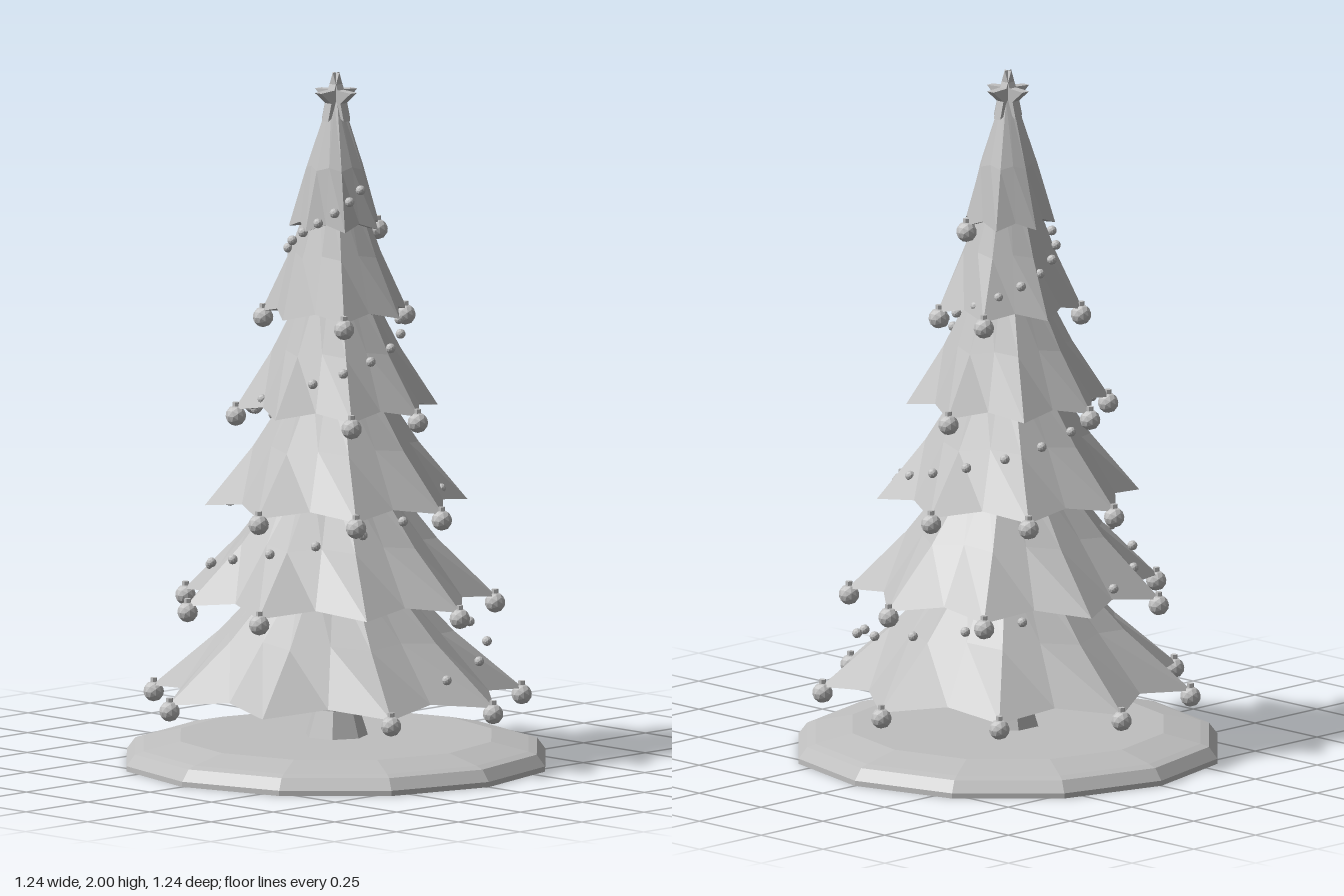
import * as THREE from 'three';

const grey = new THREE.MeshStandardMaterial({ color: 0xbfbfbf, flatShading: true });
grey.name = 'plain grey';

function add(parent, name, geometry, x = 0, y = 0, z = 0) {
  const mesh = new THREE.Mesh(geometry, grey);
  mesh.name = name;
  mesh.position.set(x, y, z);
  parent.add(mesh);
  return mesh;
}

// Star-shaped skirt of branches: rings alternate between tips and valleys
function tierGeometry(points, offset, rings) {
  const n = points * 2;
  const pos = [];
  const at = (ring, i) => {
    const a = offset + (i * Math.PI) / points;
    const tip = i % 2 === 0;
    const r = tip ? ring.tip : ring.valley;
    return [Math.cos(a) * r, tip ? ring.y : ring.y + ring.lift, Math.sin(a) * r];
  };
  for (let i = 0; i < n; i++) {
    for (let k = 0; k < rings.length - 1; k++) {
      const a = at(rings[k], i), b = at(rings[k], i + 1);
      const c = at(rings[k + 1], i), d = at(rings[k + 1], i + 1);
      pos.push(...a, ...c, ...d, ...a, ...d, ...b);
    }
    const top = rings[rings.length - 1];
    pos.push(0, rings[0].y + 0.01, 0, ...at(rings[0], i), ...at(rings[0], i + 1));
    pos.push(0, top.y + 0.01, 0, ...at(top, i + 1), ...at(top, i));
  }
  const g = new THREE.BufferGeometry();
  g.setAttribute('position', new THREE.Float32BufferAttribute(pos, 3));
  g.computeVertexNormals();
  return g;
}

export function createModel() {
  const tree = new THREE.Group();
  tree.name = 'decoratedTree';

  // Twelve-sided ground mound
  const mound = [[0, 0], [0.62, 0], [0.62, 0.015], [0.595, 0.048], [0.57, 0.056], [0.46, 0.08], [0, 0.08]];
  const base = add(tree, 'groundMound',
    new THREE.LatheGeometry(mound.map(([x, y]) => new THREE.Vector2(x, y)), 12));
  base.geometry = base.geometry.toNonIndexed();
  base.geometry.computeVertexNormals();

  // Trunk with flared foot
  add(tree, 'trunk', new THREE.CylinderGeometry(0.06, 0.07, 0.3, 7), 0, 0.22, 0);
  add(tree, 'trunkFoot', new THREE.CylinderGeometry(0.06, 0.095, 0.11, 7), 0, 0.125, 0);

  // Branch tiers from bottom to top; hung = tips that carry a bauble
  const tiers = [
    { n: 9, turn: -2.3, y: 0.205, r: 0.54, hung: [0, 1, 2, 3, 5, 6, 7, 8] },
    { n: 9, turn: 3.7, y: 0.48, r: 0.46, hung: [0, 1, 2, 4, 5, 6, 8] },
    { n: 8, turn: -9, y: 0.755, r: 0.38, hung: [0, 2, 3, 4, 6, 7] },
    { n: 8, turn: -9, y: 1.03, r: 0.295, hung: [0, 2, 3, 5, 6] },
    { n: 7, turn: 25.7, y: 1.305, r: 0.215, hung: [0, 2, 4, 6] },
    { n: 7, turn: 21, y: 1.555, r: 0.135, hung: [0] },
  ];
  const ball = new THREE.IcosahedronGeometry(0.03, 1);
  const cap = new THREE.CylinderGeometry(0.01, 0.01, 0.012, 6);
  tiers.forEach(({ n, turn, y, r, hung }, level) => {
    const offset = THREE.MathUtils.degToRad(turn);
    const last = level === tiers.length - 1;
    const rings = [
      { y, tip: r, valley: r * 0.83, lift: 0.02 },
      { y: y + 0.17, tip: r * 0.63, valley: r * 0.57, lift: 0.01 },
      { y: y + 0.36, tip: r * (last ? 0.16 : 0.3), valley: r * (last ? 0.14 : 0.27), lift: 0 },
    ];
    add(tree, 'branchTier', tierGeometry(n, offset, rings));
    for (const i of hung) {
      const a = offset + (i * 2 * Math.PI) / n;
      const bauble = new THREE.Group();
      bauble.name = 'bauble';
      bauble.position.set(Math.cos(a) * (r - 0.005), y - 0.017, Math.sin(a) * (r - 0.005));
      add(bauble, 'baubleBall', ball);
      add(bauble, 'baubleCap', cap, 0, 0.033, 0);
      tree.add(bauble);
    }
  });

  // Spiral string of small lights, three turns
  const bulb = new THREE.IcosahedronGeometry(0.0145, 1);
  const steps = 46;
  for (let i = 0; i <= steps; i++) {
    const t = i / steps;
    const a = Math.PI / 2 - t * Math.PI * 6;
    const r = 0.45 - 0.35 * t - 0.02 * Math.sin(Math.PI * t);
    add(tree, 'light', bulb, Math.cos(a) * r, 0.29 + 1.38 * t, Math.sin(a) * r);
  }

  // Two crossed five-point stars on the top
  const outline = new THREE.Shape();
  for (let i = 0; i < 10; i++) {
    const a = Math.PI / 2 + (i * Math.PI) / 5;
    const r = i % 2 ? 0.033 : 0.076;
    outline[i ? 'lineTo' : 'moveTo'](Math.cos(a) * r, Math.sin(a) * r);
  }
  outline.closePath();
  const star = new THREE.ExtrudeGeometry(outline, { depth: 0.026, bevelEnabled: false });
  star.translate(0, 0, -0.013);
  for (let i = 0; i < 2; i++) add(tree, 'topStar', star, 0, 1.924, 0).rotation.y = (i * Math.PI) / 2;

  return tree;
}
